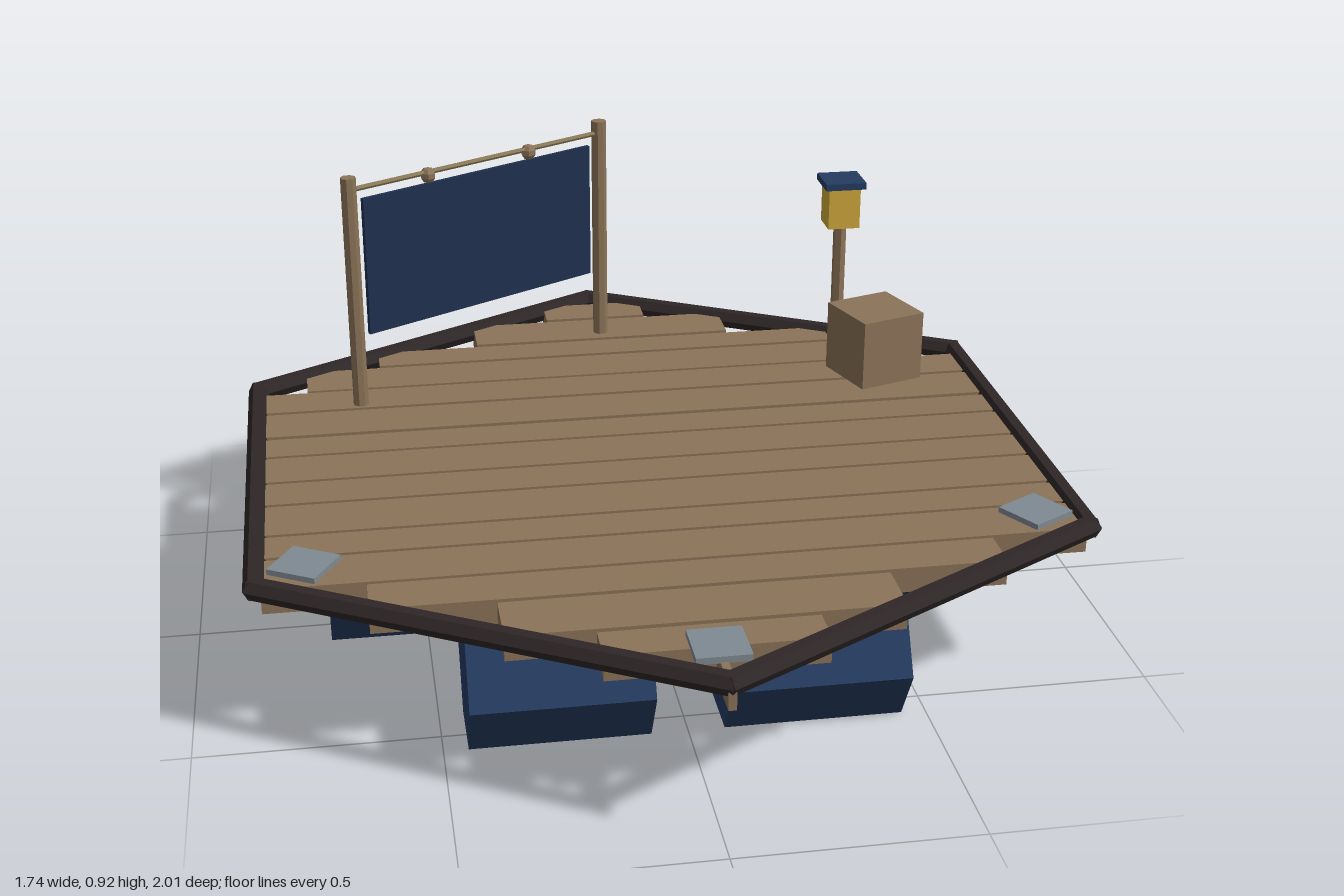
import * as THREE from 'three';

const mat = (name, color) => {
  const m = new THREE.MeshStandardMaterial({ color, flatShading: true });
  m.name = name;
  return m;
};

export function createModel() {
  const wood = mat('wood', 0x8b7358);
  const tar = mat('tarred rail', 0x2f2727);
  const drumBlue = mat('drum blue', 0x253b60);
  const clothBlue = mat('cloth blue', 0x1f2f4e);
  const steel = mat('steel', 0x7f8a92);
  const amber = mat('lantern amber', 0xcfa83c);
  const rope = mat('rope', 0x8a7a58);

  const model = new THREE.Group();
  model.name = 'raft';
  const add = (name, geo, material, x, y, z, ry = 0, parent = model) => {
    const m = new THREE.Mesh(geo, material);
    m.name = name;
    m.position.set(x, y, z);
    m.rotation.y = ry;
    parent.add(m);
    return m;
  };
  const box = (w, h, d) => new THREE.BoxGeometry(w, h, d);
  // bar lying along x
  const bar = (r, len, sides) => new THREE.CylinderGeometry(r, r, len, sides).rotateZ(Math.PI / 2);

  // floats: rows of two, three and two drums
  const drum = bar(0.1435, 0.373, 6);
  [[0.484, 2], [0, 3], [-0.484, 2]].forEach(([z, n]) => {
    for (let i = 0; i < n; i++) add('drum', drum, drumBlue, (i - (n - 1) / 2) * 0.525, 0.1243, z);
  });

  // deck planks: back edge, front edge, half width
  const deckTop = 0.374, deckBottom = 0.32;
  [
    [-0.92, -0.825, 0.125], [-0.81, -0.685, 0.315], [-0.67, -0.585, 0.56], [-0.572, -0.455, 0.735],
    [-0.445, -0.34, 0.837], [-0.328, -0.205, 0.837], [-0.19, -0.1, 0.837], [-0.09, 0.03, 0.837],
    [0.04, 0.14, 0.837], [0.15, 0.28, 0.837], [0.29, 0.38, 0.837], [0.39, 0.51, 0.837],
    [0.52, 0.62, 0.632], [0.632, 0.762, 0.388], [0.775, 0.862, 0.215], [0.88, 0.998, 0.008],
  ].forEach(([z0, z1, half]) => {
    add('plank', box(half * 2, deckTop - deckBottom, z1 - z0), wood,
      0, (deckTop + deckBottom) / 2, (z0 + z1) / 2);
  });

  // hexagonal rail around the deck
  const R = 0.98;
  const rail = bar(0.0235, 1.0, 6);
  for (let i = 0; i < 6; i++) {
    const a = i * Math.PI / 3;
    const mid = R * Math.cos(Math.PI / 6);
    add('edgeRail', rail, tar, Math.cos(a) * mid, 0.366, Math.sin(a) * mid, Math.PI / 2 - a);
  }

  // steel plates at the three front corners
  [[-0.752, 0.43, -1], [0.752, 0.43, 1], [0, 0.865, 0]].forEach(([x, z, s]) => {
    add('cornerPlate', box(0.107, 0.014, 0.107), steel, x, 0.379, z, s * Math.PI / 6);
  });

  // crate
  add('crate', box(0.163, 0.165, 0.163), wood, 0.612, 0.4565, -0.365, 0.32);

  // lantern on a post
  const lantern = new THREE.Group();
  lantern.name = 'lantern';
  lantern.position.set(0.556, 0, -0.516);
  model.add(lantern);
  add('lanternPost', new THREE.CylinderGeometry(0.016, 0.016, 0.34, 6), wood, 0, 0.54, 0, 0, lantern);
  add('lanternBox', box(0.076, 0.1, 0.076), amber, 0, 0.751, 0, 0, lantern);
  add('lanternCap', box(0.097, 0.016, 0.097), drumBlue, 0, 0.808, 0, 0, lantern);

  // cloth hung between two posts
  const screen = new THREE.Group();
  screen.name = 'screen';
  screen.position.set(-0.306, 0, -0.546);
  screen.rotation.y = Math.atan2(0.362, 0.612);
  model.add(screen);
  const span = 0.711;
  for (const s of [-1, 1]) {
    add('screenPost', new THREE.CylinderGeometry(0.018, 0.018, 0.55, 8), wood, s * span / 2, 0.647, 0, 0, screen);
    add('knot', new THREE.SphereGeometry(0.019, 6, 5), wood, s * 0.143, 0.885, 0, 0, screen);
  }
  add('crossRope', bar(0.006, span, 6), rope, 0, 0.892, 0, 0, screen);
  add('cloth', box(0.645, 0.326, 0.01), clothBlue, 0, 0.703, 0, 0, screen);

  return model;
}
